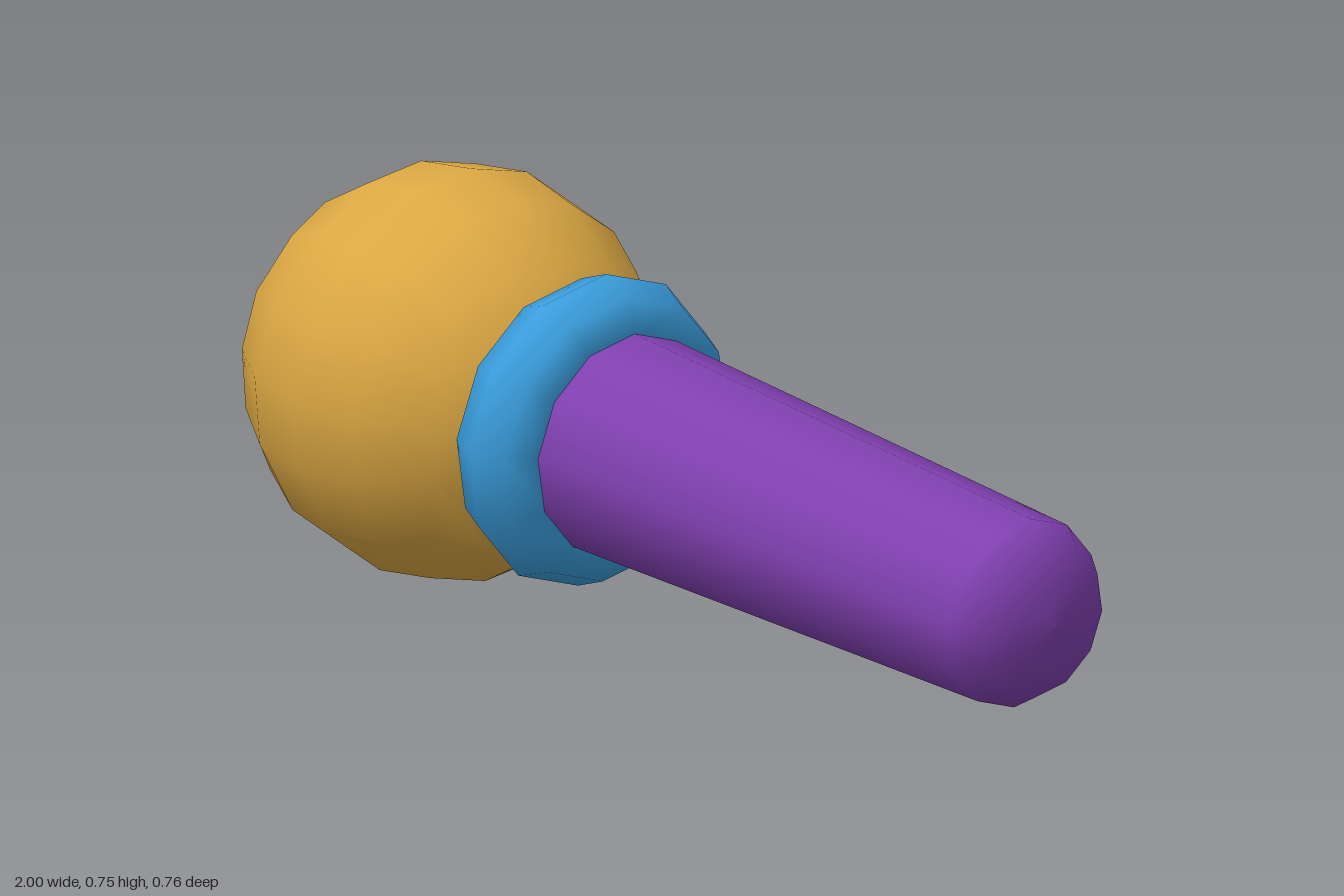
import * as THREE from 'three';

const material = (name, color) => {
  const m = new THREE.MeshStandardMaterial({ color });
  m.name = name;
  return m;
};

// Box grid bulged into an even ball, with radial smooth normals
function cubeSphere(radius, segments) {
  const geometry = new THREE.BoxGeometry(2, 2, 2, segments, segments, segments);
  const { position, normal } = geometry.attributes;
  const bulge = (a, b, c) => a * Math.sqrt(1 - (b * b + c * c) / 2 + (b * b * c * c) / 3);
  for (let i = 0; i < position.count; i++) {
    const x = position.getX(i), y = position.getY(i), z = position.getZ(i);
    const n = new THREE.Vector3(bulge(x, y, z), bulge(y, z, x), bulge(z, x, y)).normalize();
    normal.setXYZ(i, n.x, n.y, n.z);
    position.setXYZ(i, n.x * radius, n.y * radius, n.z * radius);
  }
  return geometry;
}

export function createModel() {
  const model = new THREE.Group();
  model.name = 'ballHeadedTool';

  // Local +y runs from the ball along the handle
  const add = (name, geometry, mat) => {
    const mesh = new THREE.Mesh(geometry, mat);
    mesh.name = name;
    body.add(mesh);
  };
  const body = new THREE.Group();
  body.name = 'tiltedBody';
  body.position.set(-0.625, 0.377, 0);
  body.rotation.z = THREE.MathUtils.degToRad(-97.5);
  model.add(body);

  // Ball head
  add('ballHead', cubeSphere(0.378, 4), material('gold', 0xdca843));

  // Collar ring between ball and handle
  const collar = new THREE.TorusGeometry(0.2, 0.091, 8, 12);
  collar.rotateX(Math.PI / 2);
  collar.translate(0, 0.377, 0);
  add('collar', collar, material('blue', 0x3a9ddc));

  // Tapered handle with a rounded end
  const profile = [
    [0, 0.3], [0.209, 0.3], [0.207, 0.4], [0.176, 1.547],
    [0.142, 1.6], [0.07, 1.63], [0, 1.637],
  ].map(([r, y]) => new THREE.Vector2(r, y));
  add('handle', new THREE.LatheGeometry(profile, 12), material('purple', 0x8040b0));

  return model;
}
